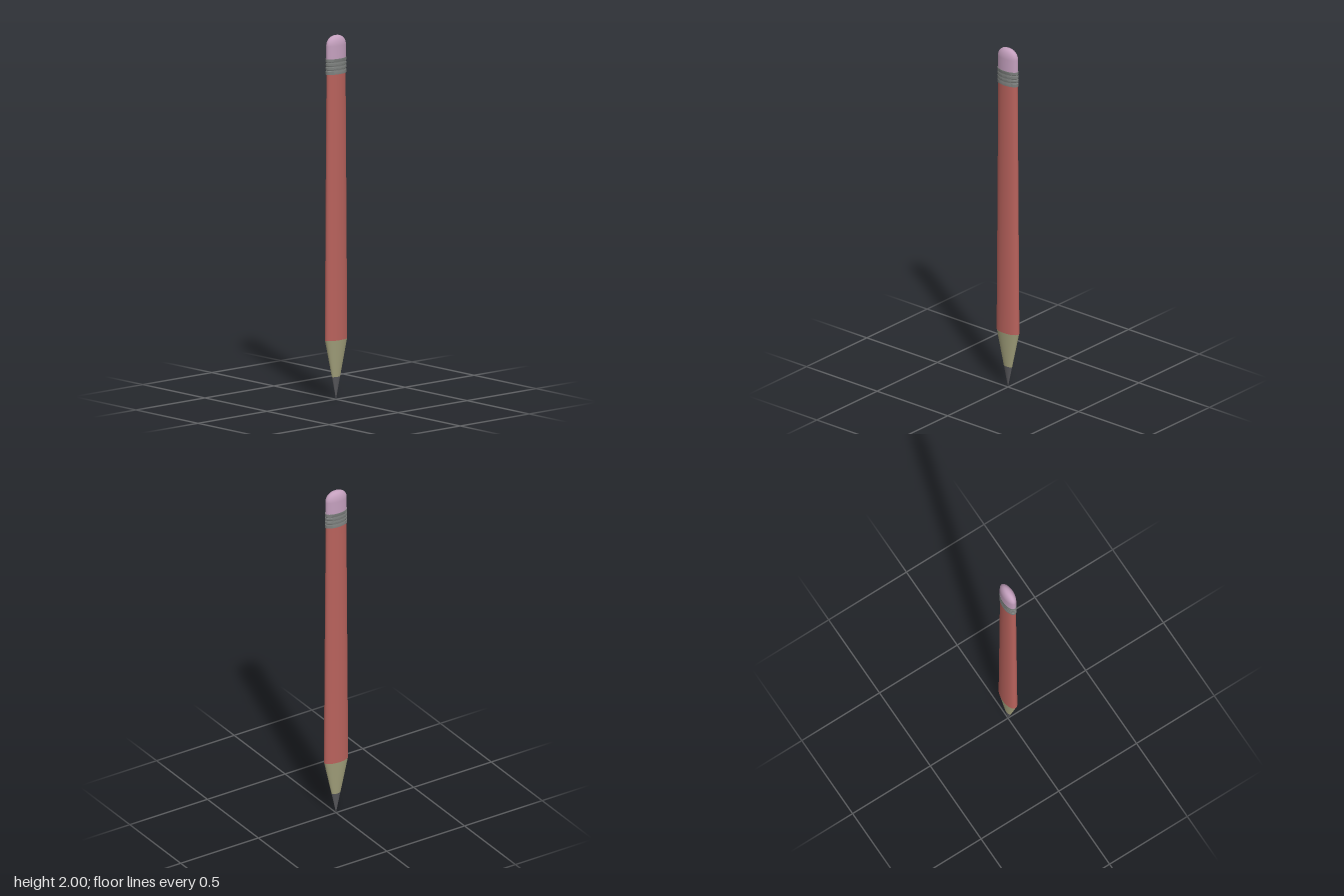
import * as THREE from 'three';
import { toCreasedNormals } from 'three/addons/utils/BufferGeometryUtils.js';

const FLATTEN = 0.47; // depth of the oval section relative to its width

// Turn a [radius, height] profile (bottom to top) into an oval part
function ovalPart(name, profile, color, crease) {
  const points = profile.map(([r, y]) => new THREE.Vector2(r, y));
  let geometry = new THREE.LatheGeometry(points, 48);
  geometry.scale(1, 1, FLATTEN);
  if (crease) geometry = toCreasedNormals(geometry, crease);
  const mesh = new THREE.Mesh(geometry, new THREE.MeshStandardMaterial({ color }));
  mesh.name = name;
  return mesh;
}

export function createModel() {
  const pencil = new THREE.Group();
  pencil.name = 'pencil';

  // Sharpened end
  pencil.add(ovalPart('leadTip', [[0, 0], [0.028, 0.125]], 0x58585c));
  pencil.add(ovalPart('woodCone', [[0.028, 0.125], [0.074, 0.33]], 0xa3a17c));

  // Slightly tapering painted shaft
  pencil.add(ovalPart('shaft', [[0.075, 0.33], [0.064, 1.8]], 0xb8625c));

  // Ferrule with pressed rings, closed over the shaft and eraser
  const ferrule = [[0.062, 1.79], [0.069, 1.79]];
  for (let i = 0; i < 3; i++) {
    const y = 1.808 + i * 0.021;
    ferrule.push([0.069, y], [0.066, y + 0.003], [0.066, y + 0.007], [0.069, y + 0.01]);
  }
  ferrule.push([0.069, 1.875], [0.062, 1.875]);
  pencil.add(ovalPart('ferrule', ferrule, 0x7c7f7d, 0.5));

  // Eraser with a rounded top
  const eraser = [[0.066, 1.87]];
  for (let i = 0; i <= 12; i++) {
    const a = (i / 12) * Math.PI / 2;
    eraser.push([0.066 * Math.cos(a) ** 0.85, 1.945 + 0.055 * Math.sin(a)]);
  }
  eraser[eraser.length - 1][0] = 0;
  pencil.add(ovalPart('eraser', eraser, 0xc4a0be));

  return pencil;
}
